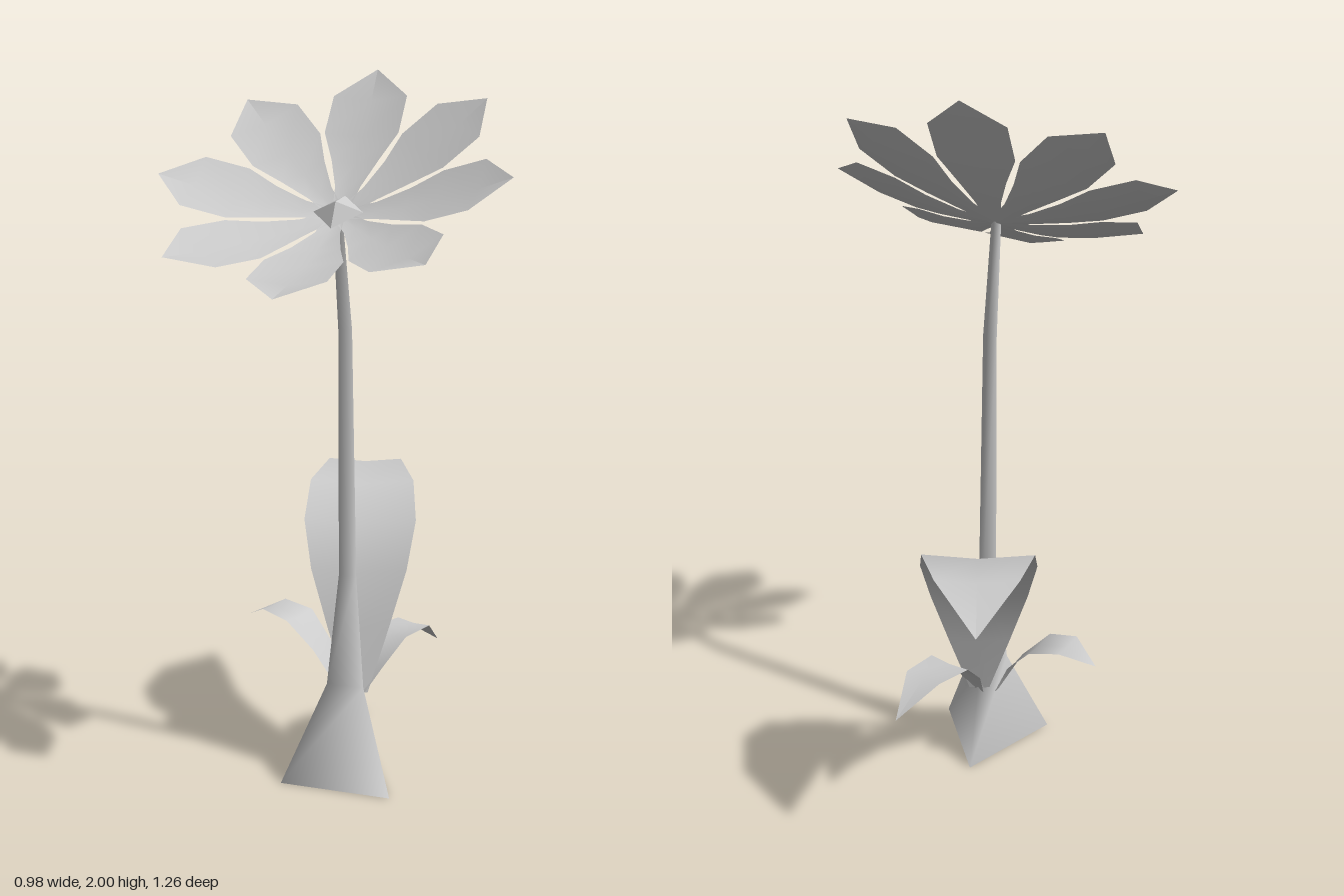
import * as THREE from 'three';

const surface = () => new THREE.MeshStandardMaterial({ color: 0xcccccc, side: THREE.DoubleSide });

// Smooth surface through rows of points; closed joins each row's ends
function loft(rows, closed) {
  const n = rows[0].length, index = [];
  for (let r = 0; r < rows.length - 1; r++) {
    for (let i = 0; i < (closed ? n : n - 1); i++) {
      const a = r * n + i, b = r * n + (i + 1) % n;
      index.push(a, b, b + n, a, b + n, a + n);
    }
  }
  const geo = new THREE.BufferGeometry();
  geo.setAttribute('position', new THREE.Float32BufferAttribute(rows.flat(2), 3));
  geo.setIndex(index);
  geo.computeVertexNormals();
  return geo;
}

// Blade growing along +z from sections [distance, height, half width];
// the edges lift by a share of the width
function blade(name, sections, cup) {
  const rows = sections.map(([s, y, w]) => [[-w, y + cup * w, s], [0, y, s], [w, y + cup * w, s]].reverse());
  const mesh = new THREE.Mesh(loft(rows, false), surface());
  mesh.name = name;
  return mesh;
}

export function createModel() {
  const model = new THREE.Group();
  model.name = 'flower';

  // Three-sided stem with flared foot: [height, front z, back z, half width]
  const rings = [
    [0, 0.2, -0.1, 0.163], [0.28, 0.108, 0, 0.055], [0.6, 0.085, 0.038, 0.026],
    [1.3, 0.102, 0.07, 0.02], [1.62, 0.163, 0.138, 0.014],
  ].map(([y, f, b, w]) => [[-w, y, f], [w, y, f], [0, y, b]]);
  const stem = new THREE.Mesh(loft(rings.reverse().map(r => r.reverse()), true), surface());
  stem.name = 'stem';
  model.add(stem);

  // Underside of the foot
  const foot = new THREE.Mesh(loft([[[-0.163, 0, 0.2], [0, 0, -0.1]], [[0.163, 0, 0.2], [0, 0, -0.1]]], false), surface());
  foot.name = 'footUnderside';
  model.add(foot);

  // Leaves, each turned towards its tip
  const large = blade('largeLeaf', [
    [0, 0.22, 0.03], [0.04, 0.4, 0.09], [0.08, 0.56, 0.14], [0.15, 0.69, 0.165],
    [0.27, 0.785, 0.155], [0.47, 0.812, 0.112], [0.655, 0.75, 0],
  ], 0.08);
  large.rotation.y = Math.atan2(-0.18, -0.63);
  const side = blade('sideLeaf', [
    [0.06, 0.23, 0.015], [0.12, 0.34, 0.05], [0.2, 0.42, 0.068], [0.29, 0.44, 0.06], [0.38, 0.4, 0],
  ], 0.08);
  side.rotation.y = Math.atan2(-0.37, -0.08);
  const back = blade('backLeaf', [
    [0, 0.21, 0.015], [0.06, 0.295, 0.05], [0.14, 0.365, 0.068], [0.26, 0.37, 0.06], [0.38, 0.29, 0],
  ], 0.08);
  back.rotation.y = Math.atan2(0.14, -0.35);
  model.add(large, side, back);

  // Flower head, tilted forward
  const head = new THREE.Group();
  head.name = 'flowerHead';
  head.position.set(0, 1.612, 0.15);
  head.rotation.x = THREE.MathUtils.degToRad(35);
  for (let i = 0; i < 8; i++) {
    const petal = blade('petal', [
      [0, 0, 0.02], [0.1, 0.015, 0.036], [0.19, 0.033, 0.068],
      [0.275, 0.056, 0.107], [0.395, 0.094, 0.107], [0.492, 0.132, 0],
    ], 0.15);
    petal.rotation.y = i * Math.PI / 4;
    head.add(petal);
  }
  const centre = new THREE.Mesh(
    new THREE.ConeGeometry(0.07, 0.035, 4),
    new THREE.MeshStandardMaterial({ color: 0xcccccc, flatShading: true }));
  centre.name = 'flowerCentre';
  centre.position.y = 0.03;
  head.add(centre);
  model.add(head);
  return model;
}
